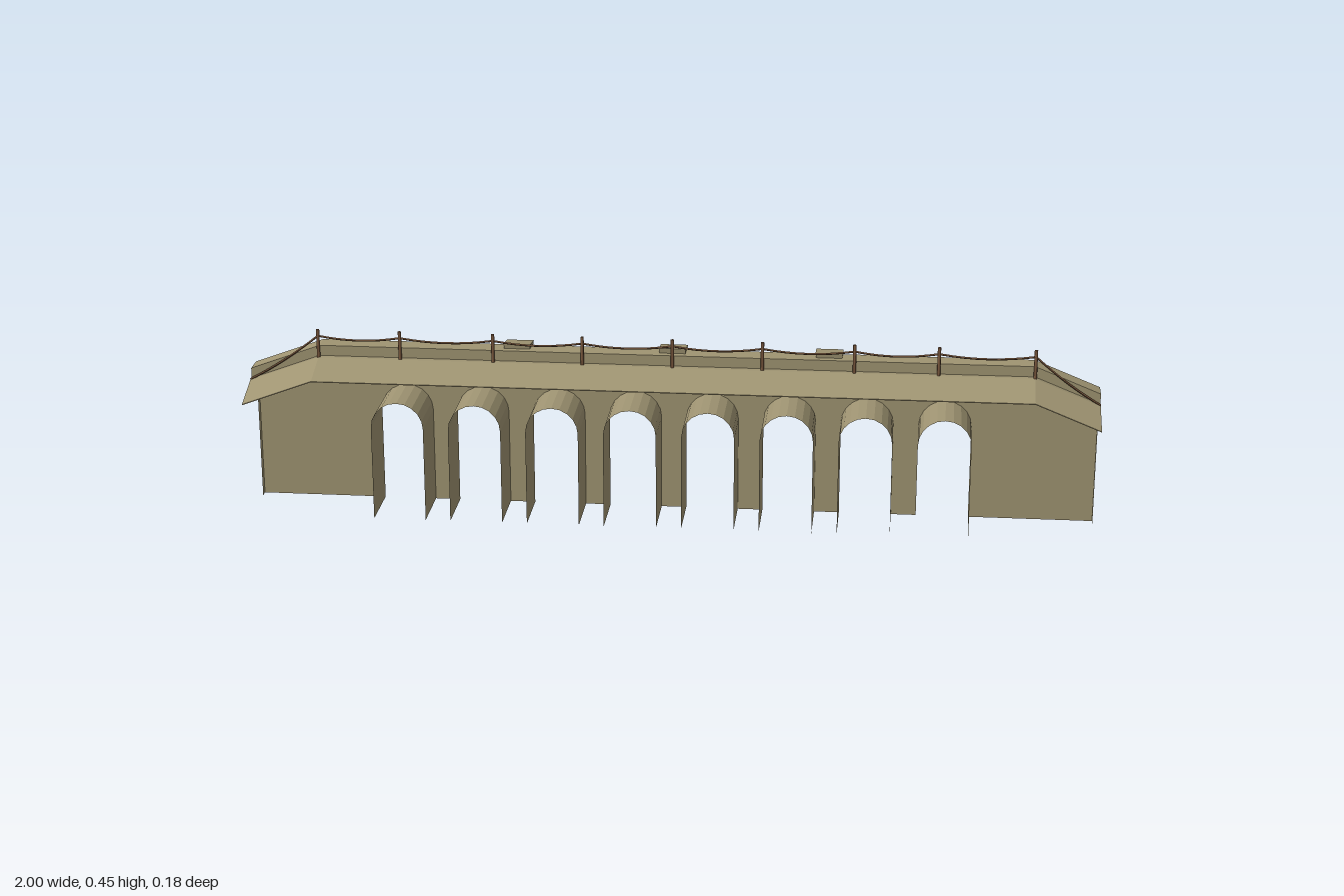
import * as THREE from 'three';

const DROP = 0.062;                                             // how far the deck ends fall
const STATIONS = [[-1, DROP], [-0.833, 0], [0.847, 0], [1, DROP]]; // x and fall along the deck
const BACK = -0.083, LEDGE = -0.064, FRONT = 0.06, WALL_TOP = 0.335;
const ARCH_R = 0.062, SPRING = 0.229, ARCH_STEP = 0.1834, ARCH_MID = 0.0025;

// Flat-shaded surface through rows of [x, y, z] points
function loft(rows) {
  const pos = [];
  for (let r = 0; r < rows.length - 1; r++) {
    for (let i = 0; i < rows[r].length - 1; i++) {
      const a = rows[r][i], b = rows[r][i + 1], c = rows[r + 1][i + 1], d = rows[r + 1][i];
      pos.push(...a, ...b, ...c, ...a, ...c, ...d);
    }
  }
  const g = new THREE.BufferGeometry();
  g.setAttribute('position', new THREE.Float32BufferAttribute(pos, 3));
  g.computeVertexNormals();
  return g;
}

// Thin sheet: a line of [x, y] points swept along z
const sheet = (points, z0, z1) => loft([z0, z1].map(z => points.map(([x, y]) => [x, y, z])));

const shapeOf = points => new THREE.Shape(points.map(([x, y]) => new THREE.Vector2(x, y)));

// One arch opening, from its left foot over the crown to its right foot
function archLine(cx) {
  const pts = [[cx - ARCH_R, 0]];
  for (let i = 0; i <= 10; i++) {
    const a = Math.PI * (1 - i / 10);
    pts.push([cx + ARCH_R * Math.cos(a), SPRING + ARCH_R * Math.sin(a)]);
  }
  pts.push([cx + ARCH_R, 0]);
  return pts;
}

export function createModel() {
  const model = new THREE.Group();
  model.name = 'bridge';
  const stone = new THREE.MeshStandardMaterial({ color: 0x9f9472, side: THREE.DoubleSide });
  stone.name = 'stone';
  const wood = new THREE.MeshStandardMaterial({ color: 0x7a583e });
  wood.name = 'brownWood';

  const add = (name, geometry, material, parent = model) => {
    const mesh = new THREE.Mesh(geometry, material);
    mesh.name = name;
    parent.add(mesh);
    return mesh;
  };

  // Level-topped back wall with arch openings, and its narrow rim
  const rim = [[-1, 0], [-1, WALL_TOP], [1, WALL_TOP], [1, 0]];
  const arches = Array.from({ length: 8 }, (_, i) => archLine(ARCH_MID + (i - 3.5) * ARCH_STEP));
  const outline = [...rim, ...arches.flat().reverse()];
  add('backWall', new THREE.ShapeGeometry(shapeOf(outline)), stone).position.z = BACK;
  add('wallRim', sheet(rim, BACK, LEDGE), stone);

  // Open vaults reaching forward from the wall
  const vaults = new THREE.Group();
  vaults.name = 'vaults';
  model.add(vaults);
  arches.forEach(a => add('vault', sheet(a, BACK, FRONT), stone, vaults));

  // Sloping deck and parapet, open beneath, as [z, y] points carried along x
  const profile = [[0.09, 0.348], [0.09, 0.35], [0, 0.38], [-0.0145, 0.38],
    [-0.0145, 0.405], [LEDGE, 0.405], [LEDGE, WALL_TOP]];
  add('deckAndParapet',
    loft(STATIONS.map(([x, fall]) => profile.map(([z, y]) => [x, y - fall, z]))), stone);
  for (const x of [-1, 1]) {
    const cap = new THREE.ShapeGeometry(shapeOf(profile.map(([z, y]) => [-z, y - DROP])));
    // Turn each cap so that it faces outward
    cap.rotateY(Math.PI / 2);
    if (x < 0) cap.setIndex([...cap.index.array].reverse());
    const flat = cap.toNonIndexed();
    flat.computeVertexNormals();
    add('deckEnd', flat, stone).position.x = x;
  }

  // Tapered blocks hung over the back of the parapet
  for (const x of [-0.364, 0.003, 0.37]) {
    const g = new THREE.BoxGeometry(1, 1, 1).toNonIndexed();
    const q = g.attributes.position;
    for (let i = 0; i < q.count; i++) {
      const top = q.getY(i) > 0, back = q.getZ(i) < 0;
      const half = top ? 0.032 : 0.021;
      q.setXYZ(i, x + Math.sign(q.getX(i)) * half,
        top ? (back ? 0.409 : 0.417) : WALL_TOP,
        top ? (back ? -0.088 : -0.031) : (back ? -0.075 : -0.04));
    }
    g.computeVertexNormals();
    add('parapetBlock', g, stone);
  }

  // Posts along the front of the parapet
  const posts = [-0.833, -0.638, -0.417, -0.206, 0.006, 0.216, 0.43, 0.625, 0.847];
  for (const x of posts) {
    add('post', new THREE.CylinderGeometry(0.004, 0.004, 0.078, 8), wood).position.set(x, 0.409, -0.004);
  }

  // Square-sided rope sagging between posts and tied down at both ends
  const knots = [[-1, 0.319], ...posts.map(x => [x, 0.432]), [1, 0.319]];
  for (let i = 0; i < knots.length - 1; i++) {
    const [ax, ay] = knots[i], [bx, by] = knots[i + 1];
    const sag = ay === by ? 0.009 : 0.006;
    const pts = [];
    for (let k = 0; k <= 6; k++) {
      const t = k / 6;
      pts.push(new THREE.Vector3(ax + (bx - ax) * t, ay + (by - ay) * t - sag * 4 * t * (1 - t), -0.004));
    }
    const rope = new THREE.TubeGeometry(new THREE.CatmullRomCurve3(pts), 8, 0.0025, 4).toNonIndexed();
    rope.computeVertexNormals();
    add('rope', rope, wood);
  }
  return model;
}
